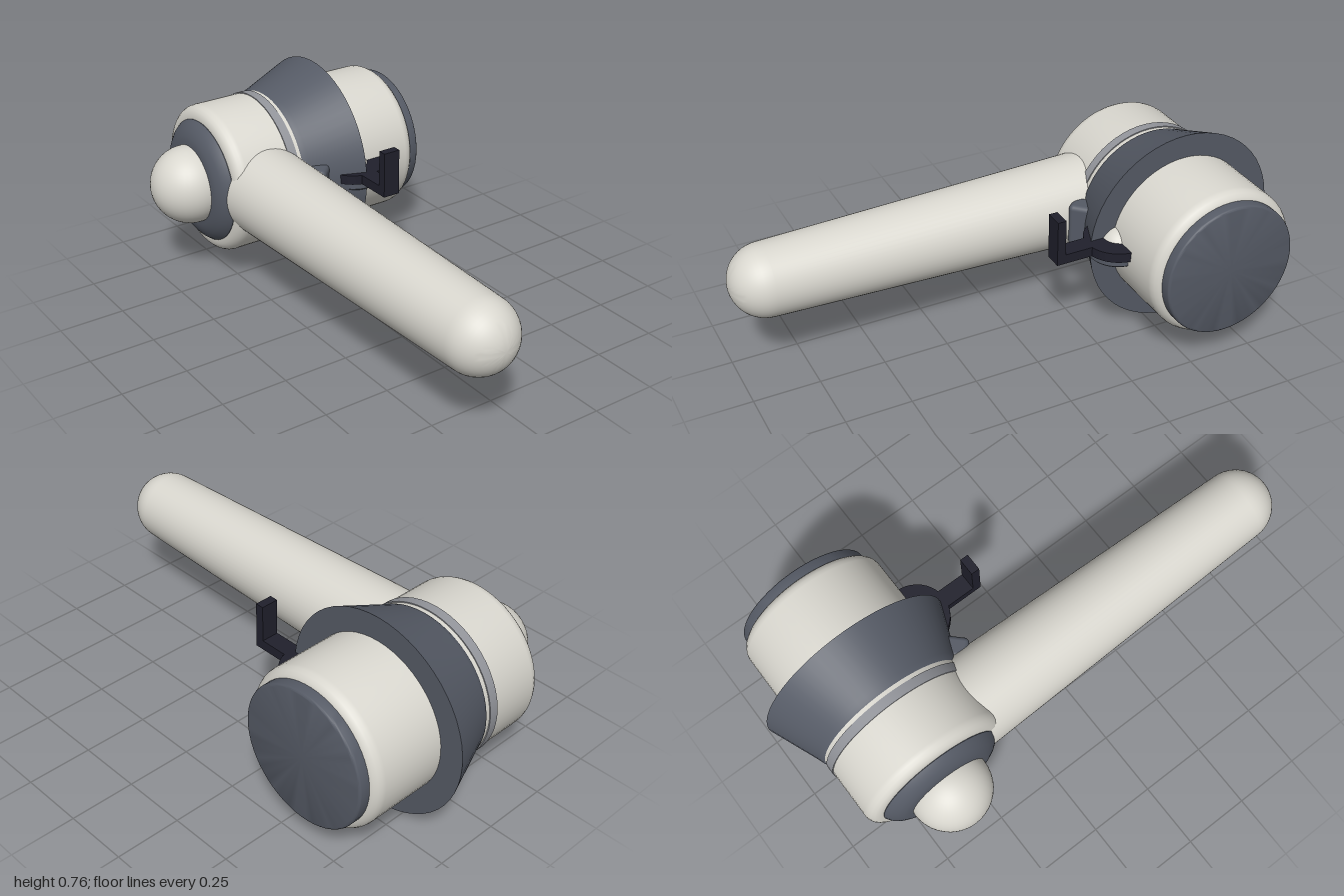
import * as THREE from 'three';
import { toCreasedNormals } from 'three/addons/utils/BufferGeometryUtils.js';
import { RoundedBoxGeometry } from 'three/addons/geometries/RoundedBoxGeometry.js';

const mat = (name, color) => {
  const m = new THREE.MeshStandardMaterial({ color });
  m.name = name;
  return m;
};

export function createModel() {
  const shell = mat('warm white', 0xd9d7cf);
  const slate = mat('slate grey', 0x555a65);
  const silver = mat('silver grey', 0x93959b);
  const black = mat('near black', 0x20202c);

  const model = new THREE.Group();
  model.name = 'device';

  const add = (name, geometry, material, x, y, z, parent = model) => {
    const mesh = new THREE.Mesh(geometry, material);
    mesh.name = name;
    mesh.position.set(x, y, z);
    parent.add(mesh);
    return mesh;
  };
  // Turned solid from [radius, height] pairs, listed bottom to top
  const turned = (points, segments = 56) => toCreasedNormals(
    new THREE.LatheGeometry(points.map(([r, h]) => new THREE.Vector2(r, h)), segments), 0.6);
  // Quarter-round corner points between two angles
  const corner = (r, h, radius, from, to) => Array.from({ length: 6 }, (_, i) => {
    const a = from + (to - from) * i / 5;
    return [r + radius * Math.cos(a), h + radius * Math.sin(a)];
  });
  const Q = Math.PI / 2;

  // Round head, turned about the z axis
  const head = new THREE.Group();
  head.name = 'head';
  head.position.set(-0.62, 0.38, 0);
  model.add(head);
  const ring = (name, points, material) => {
    const mesh = add(name, turned(points), material, 0, 0, 0, head);
    mesh.rotation.x = Q;
  };

  ring('body', [[0, -0.487],
    ...corner(0.245, -0.442, 0.045, -Q, 0),
    ...corner(0.245, 0.27, 0.045, 0, Q), [0, 0.315]], shell);
  ring('backCap', [[0, -0.525],
    ...corner(0.248, -0.513, 0.012, -Q, 0), [0.26, -0.48], [0, -0.48]], slate);
  ring('flaredSkirt', [[0, -0.19], [0.38, -0.19], [0.305, 0],
    [0.301, 0.012], [0.295, 0.028], [0.285, 0.04], [0, 0.04]], slate);
  ring('bandRing', [[0.28, 0.05], [0.294, 0.05], [0.294, 0.086], [0.28, 0.086]], silver);
  ring('noseCollar', [[0, 0.3], [0.24, 0.3], [0.24, 0.317], [0.228, 0.333],
    [0.208, 0.349], [0.185, 0.36], [0.165, 0.365], [0, 0.365]], slate);
  add('noseBall', new THREE.SphereGeometry(0.152, 40, 28), shell, 0, 0, 0.373, head);

  // Long tapered arm with a domed end
  const arm = add('arm', turned([[0, 0], [0.173, 0], [0.137, 1.263],
    ...Array.from({ length: 12 }, (_, i) => {
      const a = (i + 1) / 12 * Q;
      return [0.137 * Math.cos(a), 1.263 + 0.137 * Math.sin(a)];
    })]), shell, -0.4, 0.38, 0.165);
  arm.rotation.z = -Q;

  // Angled block between arm and skirt
  const block = add('bracketBlock', new RoundedBoxGeometry(0.08, 0.17, 0.11, 4, 0.018),
    slate, -0.315, 0.38, -0.015);
  block.rotation.y = Math.PI / 4;

  // Side joint: ball seated in two stacked discs
  add('jointBall', new THREE.SphereGeometry(0.075, 28, 20), shell, -0.355, 0.38, -0.195);
  add('lowerDisc', turned([[0, -0.0175], [0.1, -0.0175], [0.108, -0.01],
    [0.108, 0.0175], [0, 0.0175]], 40), slate, -0.345, 0.367, -0.198);
  add('upperDisc', turned([[0, -0.0185], [0.123, -0.0185], [0.123, 0.0185], [0, 0.0185]], 40),
    black, -0.345, 0.402, -0.198);

  // L-shaped lever on the joint
  add('leverBar', new THREE.BoxGeometry(0.175, 0.037, 0.068), black, -0.1725, 0.402, -0.193);
  add('leverPost', new THREE.BoxGeometry(0.033, 0.178, 0.068), black, -0.1015, 0.4725, -0.193);

  return model;
}
